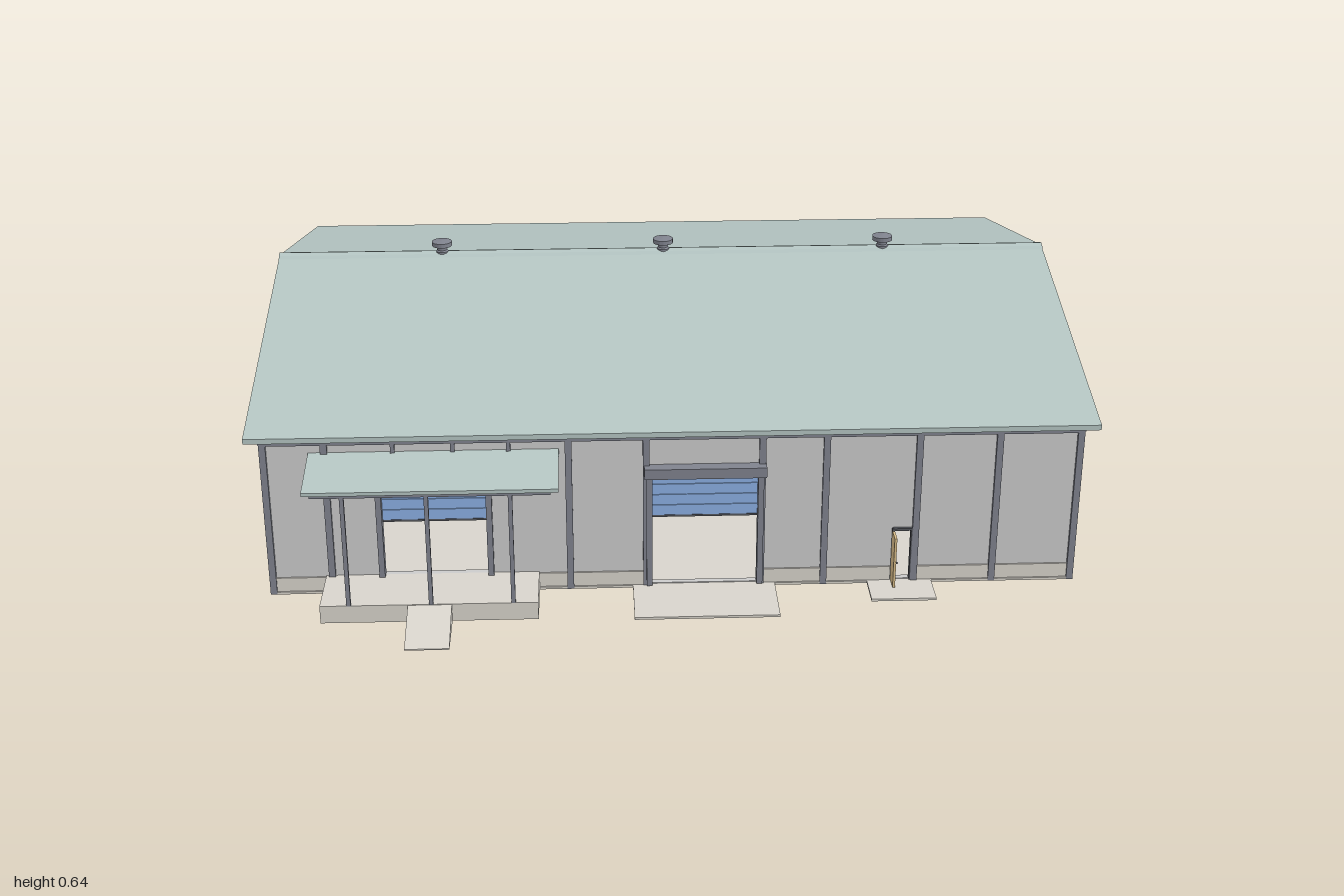
import * as THREE from 'three';

const mat = (color) => new THREE.MeshStandardMaterial({ color, side: THREE.DoubleSide });

export function createModel() {
  const M = {
    wall: mat(0xcccccc), steel: mat(0x80838e), roof: mat(0xb4c5c2), concrete: mat(0xd8d4cc),
    glass: mat(0xa0c4d4), shutter: mat(0x8cb0e4), wood: mat(0xd8bc88), dark: mat(0x55575e),
  };
  const root = new THREE.Group();
  root.name = 'warehouse';
  const FRONT = 0.587, BACK = -0.822, SIDE = 0.96, RIDGE = -0.12, TOP = 0.415, T = 0.015;

  const add = (name, geo, material, parent = root) => {
    const m = new THREE.Mesh(geo, material);
    m.name = name;
    parent.add(m);
    return m;
  };
  // box given by its extents on each axis
  const box = (name, x0, x1, y0, y1, z0, z1, material, parent) => {
    const m = add(name, new THREE.BoxGeometry(x1 - x0, y1 - y0, z1 - z0), material, parent);
    m.position.set((x0 + x1) / 2, (y0 + y1) / 2, (z0 + z1) / 2);
    return m;
  };
  // polygon with rectangular holes [u0, u1, v0, v1], extruded
  const slab = (pts, depth, holes = []) => {
    const s = new THREE.Shape(pts.map((p) => new THREE.Vector2(...p)));
    for (const [a, b, c, d] of holes) {
      s.holes.push(new THREE.Path([[a, c], [a, d], [b, d], [b, c]].map((p) => new THREE.Vector2(...p))));
    }
    return new THREE.ExtrudeGeometry(s, { depth, bevelEnabled: false });
  };
  // profile in (z, y), extruded from x0 to x1
  const alongX = (name, zy, x0, x1, material, holes = []) => {
    const geo = slab(zy.map(([z, y]) => [-z, y]), x1 - x0, holes.map(([a, b, c, d]) => [-b, -a, c, d]));
    geo.rotateY(Math.PI / 2);
    geo.translate(x0, 0, 0);
    return add(name, geo, material);
  };

  // floor
  box('floorSlab', -0.968, 0.968, 0, 0.006, -0.83, 0.595, M.concrete);

  // long walls with door openings
  const rect = [[-SIDE, 0.004], [SIDE, 0.004], [SIDE, TOP], [-SIDE, TOP]];
  const frontDoor = [0.527, 0.572, 0.008, 0.143], backDoor = [0.402, 0.447, 0.008, 0.143];
  const bays = [[-0.7, -0.44, 0.045, 0.3], [-0.06, 0.205, 0.008, 0.3]];
  add('frontWall', slab(rect, T, [...bays, frontDoor]), M.wall).position.z = FRONT - T;
  add('backWall', slab(rect, T, [backDoor]), M.wall).position.z = BACK;

  // gable walls with ribbon windows
  const windows = [[0.025, 0.262], [-0.247, 0.005], [-0.498, -0.26]];
  const holes = windows.map(([a, b]) => [a, b, 0.315, 0.397]);
  const gable = [[FRONT, 0.004], [FRONT, TOP], [RIDGE, 0.592], [BACK, TOP], [BACK, 0.004]];
  for (const s of [1, -1]) {
    const x0 = s > 0 ? SIDE - T : -SIDE;
    alongX('gableWall', gable, x0, x0 + T, M.wall, holes);
    for (const [a, b] of windows) {
      const x = s * (SIDE - 0.004);
      box('windowGlass', x - 0.002, x + 0.002, 0.315, 0.397, a, b, M.glass);
      box('windowSill', x - 0.004, x + 0.004, 0.313, 0.318, a, b, M.steel);
      for (const z of [a, (a + b) / 2, b]) {
        box('windowMullion', x - 0.004, x + 0.004, 0.315, 0.397, z - 0.002, z + 0.002, M.steel);
      }
    }
    // gable columns, tie beam and plinth
    for (const z of [0.395, 0.075, -0.31, -0.63]) {
      box('sideColumn', s * 0.963 - 0.008, s * 0.963 + 0.008, 0, 0.4, z - 0.009, z + 0.009, M.steel);
    }
    box('sideBeam', s * 0.964 - 0.008, s * 0.964 + 0.008, 0.397, 0.42, -0.83, 0.595, M.steel);
    box('sidePlinth', s * 0.961 - 0.004, s * 0.961 + 0.004, 0, 0.042, BACK, FRONT, M.concrete);
  }

  // columns on the long walls, eave beams and plinths
  const column = (name, x, z, y0 = 0, w = 0.008) => box(name, x - w, x + w, y0, 0.4, z - 0.008, z + 0.008, M.steel);
  for (const x of [-0.962, -0.82, -0.25, -0.067, 0.208, 0.36, 0.58, 0.77, 0.962]) column('frontColumn', x, FRONT);
  for (const x of [-0.66, -0.52, -0.39]) column('canopyHanger', x, FRONT, 0.3, 0.005);
  for (let i = 0; i <= 10; i++) column('backColumn', -0.962 + i * 0.1924, BACK);
  for (const z of [FRONT, BACK]) box('eaveBeam', -0.97, 0.97, 0.393, 0.415, z - 0.008, z + 0.008, M.steel);
  for (const [a, b] of [[-0.96, -0.06], [0.205, 0.523], [0.576, 0.96]]) {
    box('frontPlinth', a, b, 0, 0.042, FRONT - 0.003, FRONT + 0.004, M.concrete);
  }
  for (const [a, b] of [[-0.96, 0.398], [0.451, 0.96]]) {
    box('backPlinth', a, b, 0, 0.042, BACK - 0.004, BACK + 0.003, M.concrete);
  }

  // roof, rafters under its verges, and ridge cap
  alongX('roof', [[0.622, 0.412], [0.622, 0.425], [RIDGE, 0.606], [-0.865, 0.425], [-0.865, 0.412], [RIDGE, 0.593]], -1, 1, M.roof);
  alongX('ridgeCap', [[-0.098, 0.601], [-0.106, 0.608], [RIDGE, 0.612], [-0.134, 0.608], [-0.142, 0.601]], -1, 1, M.roof);
  for (const x of [-0.978, 0.962]) {
    alongX('vergeRafter', [[0.595, 0.408], [0.595, 0.42], [RIDGE, 0.594], [-0.83, 0.42], [-0.83, 0.408], [RIDGE, 0.583]], x, x + 0.016, M.steel);
  }

  // roof vents
  const vent = [[0, 0.595], [0.016, 0.595], [0.016, 0.612], [0.013, 0.616], [0.013, 0.626], [0.026, 0.627], [0.026, 0.638], [0, 0.641]];
  for (const x of [-0.577, 0, 0.577]) {
    const geo = new THREE.LatheGeometry(vent.map((p) => new THREE.Vector2(...p)), 20).toNonIndexed();
    geo.computeVertexNormals();
    add('roofVent', geo, M.steel).position.set(x, 0, RIDGE);
  }

  // half-open roller doors with frames and housings
  for (const [a, b, y0, y1] of bays) {
    const door = new THREE.Group();
    door.name = 'rollerDoor';
    root.add(door);
    for (let i = 0; i < 4; i++) {
      const y = 0.19 + i * 0.0275;
      box('doorSlat', a, b, y, y + 0.0262, FRONT - 0.012, FRONT - 0.004, M.shutter, door);
    }
    box('doorBottomRail', a, b, 0.185, 0.19, FRONT - 0.013, FRONT - 0.003, M.dark, door);
    box('doorHousing', a - 0.012, b + 0.012, y1, 0.326, FRONT - 0.005, 0.617, M.steel, door);
    for (const x of [a, b]) box('doorJamb', x - 0.007, x + 0.007, y0, y1, FRONT - 0.012, 0.602, M.steel, door);
  }

  // personnel doors standing open at right angles
  const openDoor = (name, [a, b, y0, y1], z, dir) => {
    const door = new THREE.Group();
    door.name = name;
    root.add(door);
    for (const x of [a, b]) box('doorFrame', x - 0.003, x + 0.003, y0, y1 + 0.003, z - 0.008, z + 0.008, M.dark, door);
    box('doorLintel', a, b, y1 - 0.002, y1 + 0.004, z - 0.008, z + 0.008, M.dark, door);
    const zs = [z + dir * 0.006, z + dir * 0.046].sort((p, q) => p - q);
    box('doorLeaf', a - 0.003, a + 0.003, y0, y1 - 0.003, ...zs, M.wood, door);
    const knob = add('doorKnob', new THREE.SphereGeometry(0.003, 10, 8), M.dark, door);
    knob.position.set(a + 0.005, 0.072, z + dir * 0.041);
  };
  openDoor('frontDoor', frontDoor, FRONT, 1);
  openDoor('backDoor', backDoor, BACK, -1);

  // loading dock with ramp, and ground aprons
  box('loadingDock', -0.835, -0.325, 0, 0.045, FRONT, 0.735, M.concrete);
  alongX('dockRamp', [[0.73, 0], [0.73, 0.045], [0.865, 0.003], [0.865, 0]], -0.63, -0.527, M.concrete);
  box('doorApron', -0.1, 0.243, 0, 0.006, FRONT, 0.748, M.concrete);
  box('entranceApron', 0.467, 0.623, 0, 0.006, FRONT, 0.684, M.concrete);

  // canopy over the dock
  alongX('canopyRoof', [[0.588, 0.363], [0.588, 0.372], [0.743, 0.344], [0.743, 0.335]], -0.857, -0.272, M.roof);
  box('canopyBeam', -0.84, -0.29, 0.327, 0.337, 0.726, 0.738, M.steel);
  for (const x of [-0.767, -0.575, -0.383]) {
    box('canopyPost', x - 0.005, x + 0.005, 0.045, 0.334, 0.727, 0.737, M.steel);
  }
  return root;
}
